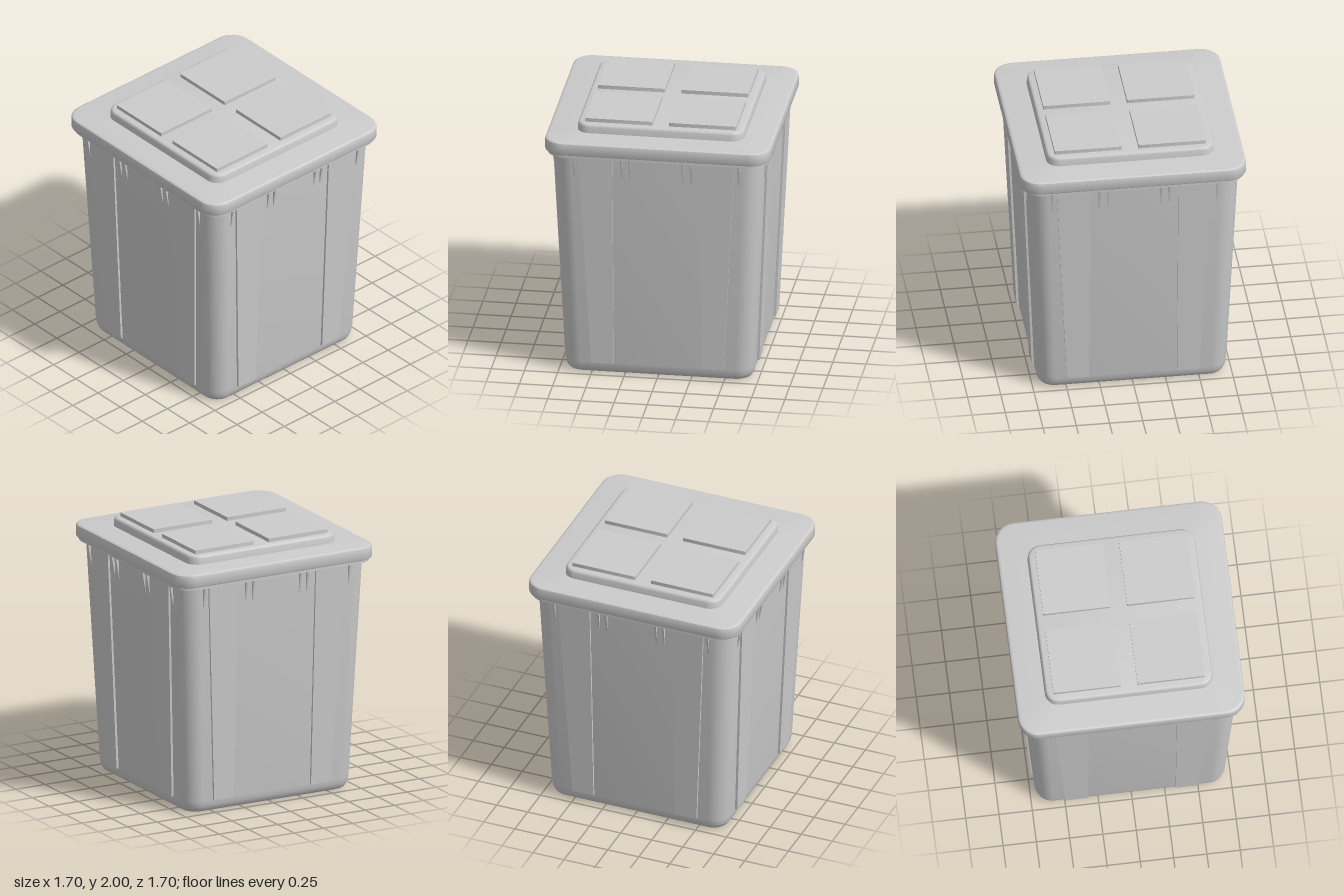
import * as THREE from 'three';
import { toCreasedNormals } from 'three/addons/utils/BufferGeometryUtils.js';

const material = new THREE.MeshStandardMaterial({ color: 0xcccccc });

// Closed loft through rounded squares, each given as [y, half width, corner radius]
function roundedLoft(sections, cornerSteps = 8) {
  const pos = [], index = [];
  const n = 4 * (cornerSteps + 1);
  for (const [y, half, r] of sections) {
    for (let c = 0; c < 4; c++) {
      const mid = (c + 0.5) * Math.PI / 2;
      const cx = Math.sign(Math.cos(mid)) * (half - r);
      const cz = Math.sign(Math.sin(mid)) * (half - r);
      for (let i = 0; i <= cornerSteps; i++) {
        const a = (c + i / cornerSteps) * Math.PI / 2;
        pos.push(cx + r * Math.cos(a), y, cz + r * Math.sin(a));
      }
    }
  }
  const last = sections.length - 1;
  const bottom = pos.length / 3, top = bottom + 1;
  pos.push(0, sections[0][0], 0, 0, sections[last][0], 0);
  for (let j = 0; j < n; j++) {
    const k = (j + 1) % n;
    for (let s = 0; s < last; s++) {
      const a = s * n, b = a + n;
      index.push(a + j, b + j, a + k, a + k, b + j, b + k);
    }
    index.push(bottom, j, k, top, last * n + k, last * n + j);
  }
  const g = new THREE.BufferGeometry();
  g.setAttribute('position', new THREE.Float32BufferAttribute(pos, 3));
  g.setIndex(index);
  return toCreasedNormals(g, 0.6);
}

// Half width of the tapered wall at height y
const wall = y => 0.715 + (y - 0.09) * 0.047;

// Box fitted to the wall: x limits and depth are [bottom, top] pairs
function wallPiece(y0, y1, left, right, depth) {
  const g = new THREE.BoxGeometry(1, 1, 1);
  const p = g.attributes.position;
  for (let i = 0; i < p.count; i++) {
    const t = p.getY(i) > 0 ? 1 : 0;
    const y = t ? y1 : y0;
    const x = p.getX(i) < 0 ? left[t] : right[t];
    const z = wall(y) + (p.getZ(i) > 0 ? depth[t] : -0.02);
    p.setXYZ(i, x, y, z);
  }
  g.computeVertexNormals();
  return g;
}

export function createModel() {
  const model = new THREE.Group();
  model.name = 'storageBin';
  const add = (parent, geometry, name) => {
    const mesh = new THREE.Mesh(geometry, material);
    mesh.name = name;
    parent.add(mesh);
    return mesh;
  };

  // Tapered tub with a softly rounded foot
  add(model, roundedLoft([
    [0, 0.67, 0.1], [0.008, 0.685, 0.11], [0.025, 0.698, 0.12],
    [0.05, 0.708, 0.125], [0.09, wall(0.09), 0.13], [1.79, wall(1.79), 0.15],
  ]), 'tub');

  // Four walls, each with two tapered panels and six small gussets under the lid
  for (let side = 0; side < 4; side++) {
    const group = new THREE.Group();
    group.name = 'wallDetails' + (side + 1);
    group.rotation.y = side * Math.PI / 2;
    for (const s of [-1, 1]) {
      const inner = [0.33 * s, 0.33 * s], outer = [0.5 * s, 0.585 * s];
      const [left, right] = s > 0 ? [inner, outer] : [outer, inner];
      add(group, wallPiece(0.09, 1.775, left, right, [0.018, 0.015]), 'wallPanel');
      for (const x of [0.2, 0.262, 0.62]) {
        const c = x * s;
        add(group, wallPiece(1.62, 1.785, [c - 0.006, c - 0.009], [c + 0.006, c + 0.009], [0.002, 0.025]), 'gusset');
      }
    }
    model.add(group);
  }

  // Lid: lower lip, thick rim and raised centre
  const lid = new THREE.Group();
  lid.name = 'lid';
  add(lid, roundedLoft([[1.78, 0.83, 0.14], [1.81, 0.83, 0.14]]), 'lidLip');
  add(lid, roundedLoft([
    [1.802, 0.835, 0.135], [1.806, 0.845, 0.145], [1.815, 0.85, 0.15],
    [1.885, 0.85, 0.15], [1.897, 0.846, 0.146], [1.903, 0.838, 0.138], [1.905, 0.826, 0.13],
  ]), 'lidRim');
  add(lid, roundedLoft([
    [1.9, 0.63, 0.1], [1.95, 0.626, 0.096], [1.962, 0.622, 0.092],
    [1.969, 0.614, 0.084], [1.971, 0.604, 0.075],
  ]), 'raisedCentre');

  // Four square pads on the raised centre
  for (const x of [-0.315, 0.315]) {
    for (const z of [-0.315, 0.315]) {
      const pad = add(lid, roundedLoft([[1.965, 0.253, 0.006], [2, 0.253, 0.006]], 3), 'lidPad');
      pad.position.set(x, 0, z);
    }
  }
  model.add(lid);
  return model;
}
